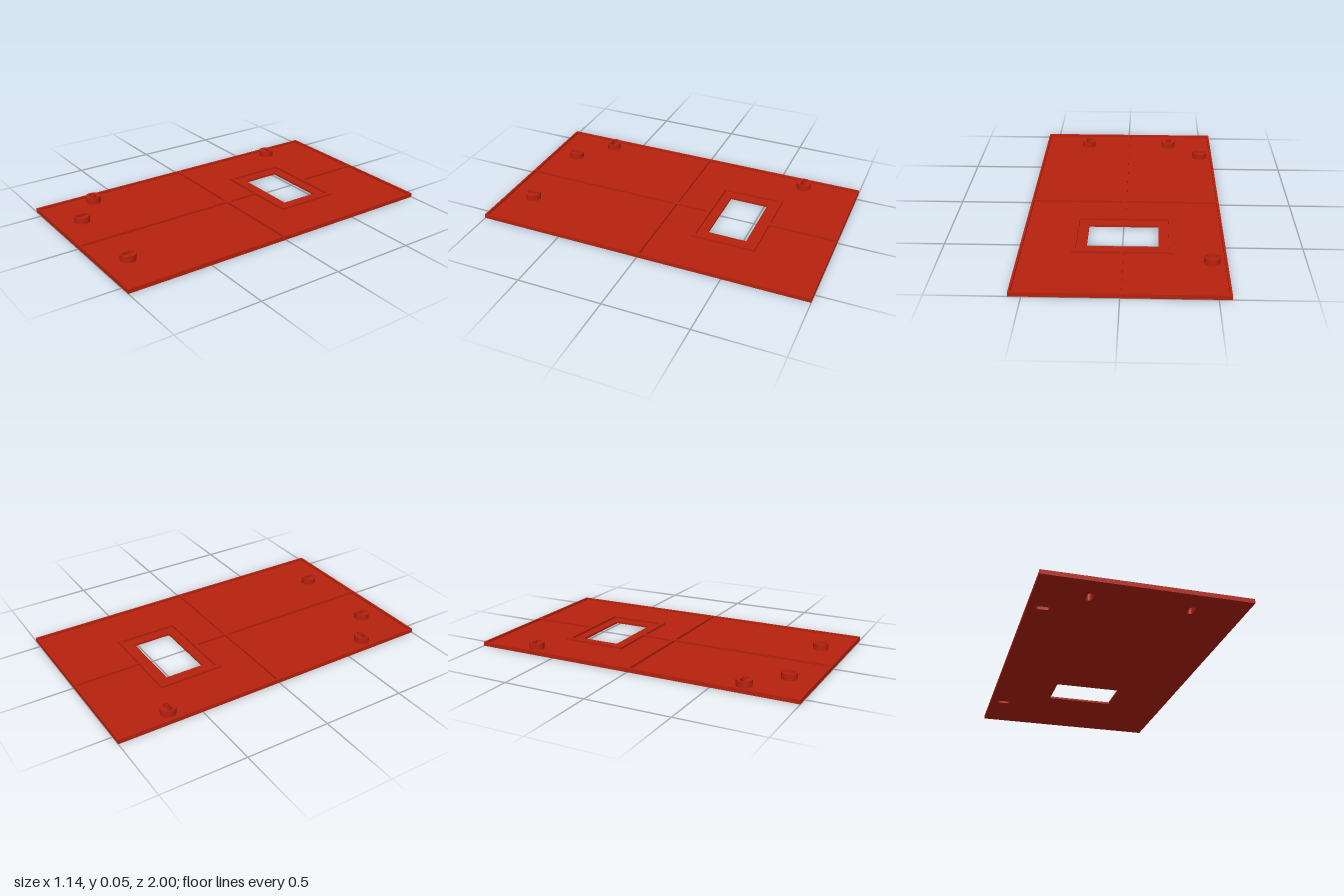
import * as THREE from 'three';

const W = 0.568, L = 1;             // half width and half length of the panel
const FLOOR = 0.012, RIB = 0.025, BOSS = 0.051;

// Traces a rectangle in plan, given as x and z ranges (shape y = -z)
function rect(target, x0, x1, z0, z1) {
  target.moveTo(x0, -z1);
  target.lineTo(x1, -z1);
  target.lineTo(x1, -z0);
  target.lineTo(x0, -z0);
  target.closePath();
  return target;
}

// Rounded slot outline; 'along' is true when its length runs in x
function slot(x, z, along) {
  const r = 0.016, h = 0.021, path = new THREE.Path();
  const a = along ? 0 : Math.PI / 2;
  const dx = along ? h : 0, dy = along ? 0 : h;
  path.absarc(x + dx, -z + dy, r, a - Math.PI / 2, a + Math.PI / 2, false);
  path.absarc(x - dx, -z - dy, r, a + Math.PI / 2, a + Math.PI * 1.5, false);
  path.closePath();
  return path;
}

export function createModel() {
  const group = new THREE.Group();
  const red = new THREE.MeshStandardMaterial({ color: 0xb8210e });
  red.name = 'red plastic';

  const add = (name, geometry) => {
    const mesh = new THREE.Mesh(geometry, red);
    mesh.name = name;
    group.add(mesh);
    return mesh;
  };
  // Extrudes a plan shape upwards from y0 to y1
  const slab = (name, shape, y0, y1) => {
    const g = new THREE.ExtrudeGeometry(shape, { depth: y1 - y0, bevelEnabled: false, curveSegments: 16 });
    g.rotateX(-Math.PI / 2);
    g.translate(0, y0, 0);
    return add(name, g);
  };

  // x, z, slot runs along x
  const bosses = [
    [-0.486, -0.667, true],
    [-0.486, 0.664, true],
    [-0.277, 0.84, false],
    [0.276, 0.84, false],
  ];

  // Floor plate with window and slots
  const floor = rect(new THREE.Shape(), -W, W, -L, L);
  floor.holes.push(rect(new THREE.Path(), -0.2, 0.2, -0.519, -0.285));
  for (const b of bosses) floor.holes.push(slot(...b));
  slab('floorPlate', floor, 0, FLOOR);

  // Raised outer rim
  const rim = rect(new THREE.Shape(), -W, W, -L, L);
  rim.holes.push(rect(new THREE.Path(), -W + 0.012, W - 0.012, -L + 0.012, L - 0.012));
  slab('rim', rim, FLOOR, RIB);

  // Raised frame around the window
  const frame = rect(new THREE.Shape(), -0.28, 0.28, -0.595, -0.207);
  frame.holes.push(rect(new THREE.Path(), -0.258, 0.258, -0.573, -0.229));
  slab('windowFrame', frame, FLOOR, RIB);

  // Stiffening ribs
  const ribs = [
    ['crossRib', -W + 0.012, W - 0.012, -0.009, 0.009],
    ['backRib', -0.009, 0.009, -L + 0.012, -0.595],
    ['middleRib', -0.009, 0.009, -0.207, -0.009],
    ['frontRib', -0.009, 0.009, 0.009, L - 0.012],
  ];
  for (const [name, ...r] of ribs) slab(name, rect(new THREE.Shape(), ...r), FLOOR, RIB);

  // Round mounting bosses with slots
  bosses.forEach(([x, z, along], i) => {
    const shape = new THREE.Shape();
    shape.absarc(x, -z, 0.045, 0, Math.PI * 2, false);
    shape.holes.push(slot(x, z, along));
    slab('mountingBoss' + (i + 1), shape, FLOOR, BOSS);
  });

  return group;
}
